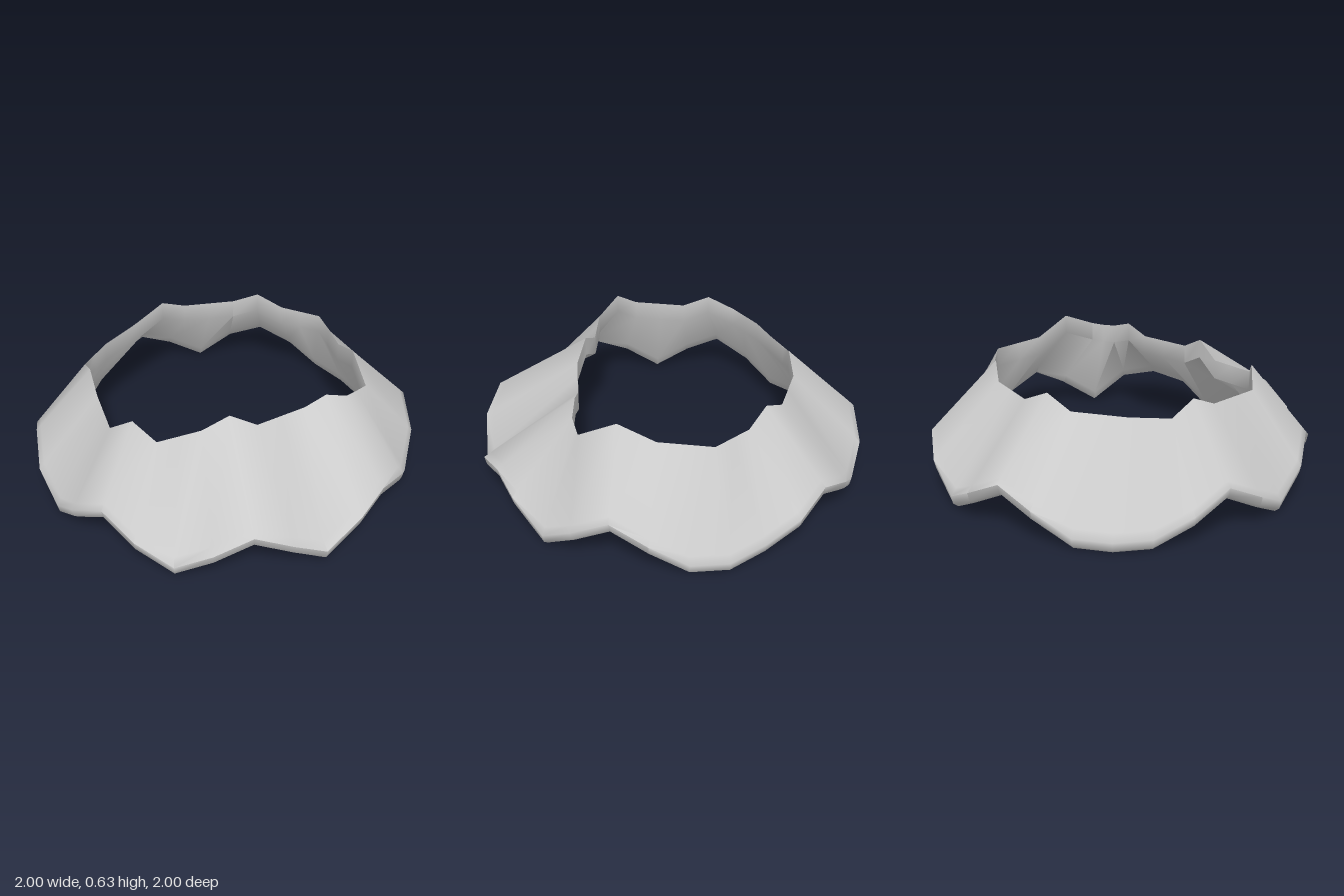
import * as THREE from 'three';
import { toCreasedNormals } from 'three/addons/utils/BufferGeometryUtils.js';

const COLS = 32;

// height of the scalloped hem at each column, counted from the front towards +x
const HEM = [
  0.13, 0, 0.13, 0.18, 0.14, 0, 0.12, 0.22, 0.13, 0, 0, 0.04, 0.12, 0.2, 0.12, 0,
  0.1, 0.2, 0.12, 0, 0, 0, 0.1, 0.2, 0.1, 0, 0.12, 0.22, 0.12, 0, 0.12, 0.21,
];

// corners [x, z] of the upper opening, one for every second column
const RIM = [
  [0, 0.49], [0.27, 0.44], [0.5, 0.43], [0.63, 0.38], [0.65, 0], [0.66, -0.28], [0.5, -0.43], [0.27, -0.58],
  [0, -0.63], [-0.27, -0.57], [-0.51, -0.42], [-0.66, -0.28], [-0.67, 0], [-0.68, 0.27], [-0.5, 0.45], [-0.27, 0.44],
];

// odd columns lie halfway along the straight side between two corners
function onPolygon(corners, k) {
  const a = corners[Math.floor(k / 2)];
  const b = corners[Math.ceil(k / 2) % corners.length];
  return [(a[0] + b[0]) / 2, (a[1] + b[1]) / 2];
}

// closed wall section at one column: outer lip, rim, inner face, hem
function section(k, base) {
  const [bx, bz] = onPolygon(base, k);
  const [rx, rz] = onPolygon(RIM, k);
  const hem = HEM[k];
  const rimY = Math.max(0.55, hem + 0.415);
  const ring = (s, y) => [bx * s, y, bz * s];
  const mix = (s, y, t, topY) => [
    THREE.MathUtils.lerp(bx * s, rx, t),
    THREE.MathUtils.lerp(y, topY, t),
    THREE.MathUtils.lerp(bz * s, rz, t),
  ];
  return [
    ring(0.965, hem),
    ring(0.99, hem + 0.02),
    ring(1, hem + 0.065),
    mix(1, hem + 0.065, 0.08, rimY),
    [rx, rimY, rz],
    [rx, rimY - 0.1, rz],
    mix(0.925, hem + 0.035, 0.06, rimY - 0.1),
    ring(0.93, hem + 0.01),
  ];
}

export function createModel() {
  const group = new THREE.Group();
  group.name = 'scallopedCollar';

  const base = RIM.map((_, i) => {
    const a = (i / RIM.length) * Math.PI * 2;
    return [Math.sin(a), Math.cos(a)];
  });

  // loft the sections into a closed ring
  const positions = [];
  const indices = [];
  for (let k = 0; k < COLS; k++) positions.push(...section(k, base).flat());
  const n = positions.length / 3 / COLS;
  for (let k = 0; k < COLS; k++) {
    for (let i = 0; i < n; i++) {
      const j = (i + 1) % n;
      const next = ((k + 1) % COLS) * n;
      const a = k * n + i, b = next + i, c = next + j, d = k * n + j;
      indices.push(a, b, c, a, c, d);
    }
  }
  const geometry = new THREE.BufferGeometry();
  geometry.setAttribute('position', new THREE.Float32BufferAttribute(positions, 3));
  geometry.setIndex(indices);

  const collar = new THREE.Mesh(
    toCreasedNormals(geometry, 1.0),
    new THREE.MeshStandardMaterial({ color: 0xcccccc, side: THREE.DoubleSide }),
  );
  collar.name = 'collarWall';
  group.add(collar);
  return group;
}
